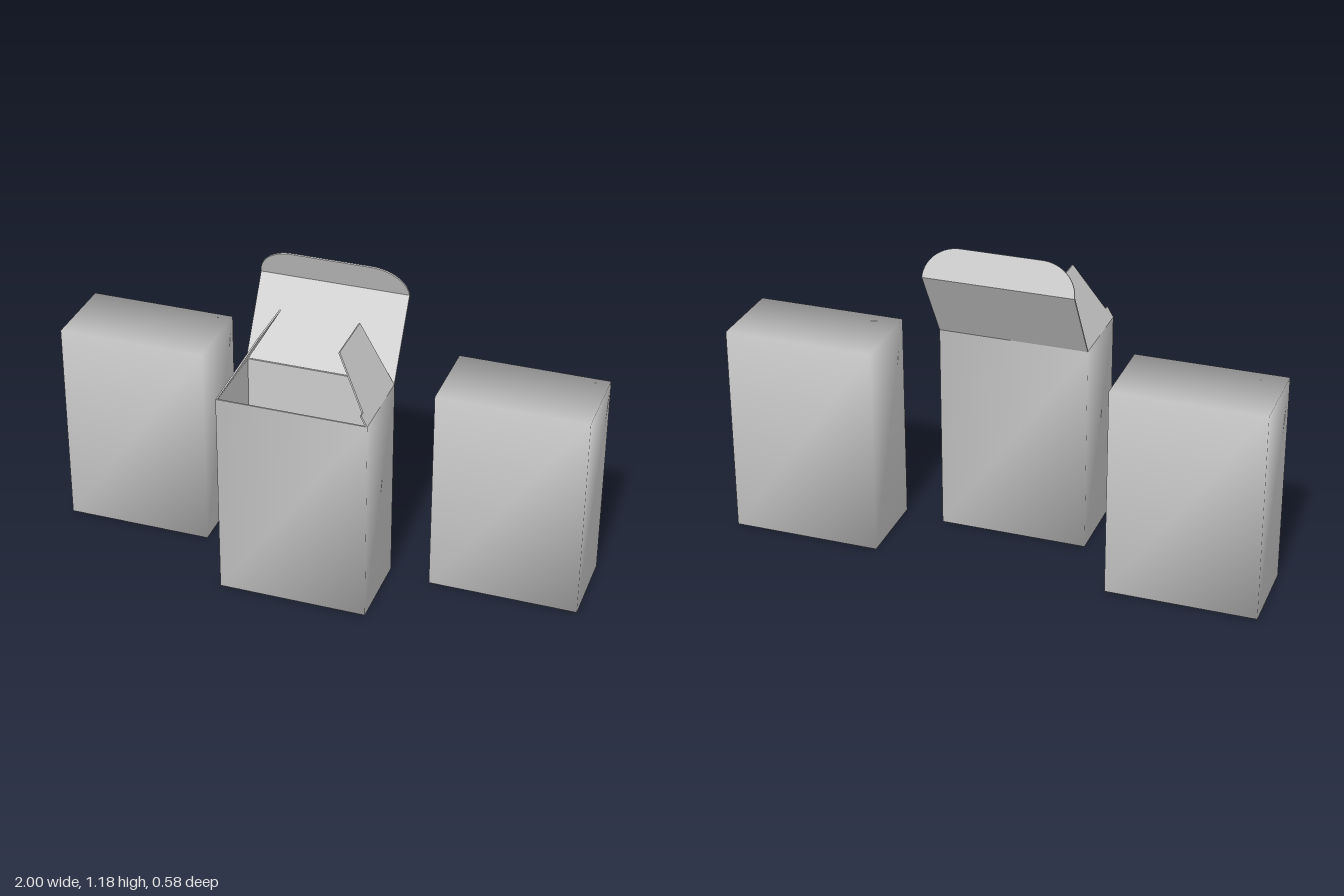
import * as THREE from 'three';
import { mergeVertices } from 'three/addons/utils/BufferGeometryUtils.js';

const W = 0.56, H = 0.8, D = 0.31; // outer size of every carton
const T = 0.006;                   // card thickness

// Weld the corners so shading flows softly around the carton
function soften(geometry) {
  geometry.deleteAttribute('normal');
  geometry.deleteAttribute('uv');
  const welded = mergeVertices(geometry);
  welded.clearGroups();
  welded.computeVertexNormals();
  return welded;
}

// Box standing on y = base, without its top face
function openBox(w, h, d, base) {
  const g = new THREE.BoxGeometry(w, h, d).translate(0, base + h / 2, 0);
  const index = Array.from(g.index.array);
  index.splice(12, 6);
  g.setIndex(index);
  g.clearGroups();
  return g;
}

function rectangle(w, d, Type) {
  const s = new Type();
  s.moveTo(-w / 2, -d / 2);
  s.lineTo(w / 2, -d / 2);
  s.lineTo(w / 2, d / 2);
  s.lineTo(-w / 2, d / 2);
  s.closePath();
  return s;
}

// Card panel: a flat shape extruded and laid along two directions from an origin
function panel(shape, xDir, yDir, origin, offset = 0) {
  const g = new THREE.ExtrudeGeometry(shape, { depth: T, bevelEnabled: false, curveSegments: 10 });
  g.translate(0, 0, offset);
  const y = yDir.clone().normalize();
  const m = new THREE.Matrix4().makeBasis(xDir, y, new THREE.Vector3().crossVectors(xDir, y));
  return g.applyMatrix4(m.setPosition(origin));
}

export function createModel() {
  const model = new THREE.Group();
  model.name = 'cartons';
  const card = new THREE.MeshStandardMaterial({ color: 0xcccccc });
  card.name = 'grey card';

  const add = (parent, name, geometry) => {
    const mesh = new THREE.Mesh(geometry, card);
    mesh.name = name;
    parent.add(mesh);
    return mesh;
  };

  // Closed cartons on both sides
  for (const s of [-1, 1]) {
    const box = add(model, s > 0 ? 'closedCartonLeft' : 'closedCartonRight',
      soften(new THREE.BoxGeometry(W, H, D)));
    box.position.set(s * 0.72, H / 2, -0.135);
  }

  // Open carton: outer walls, inner walls and the rim between them
  const open = new THREE.Group();
  open.name = 'openCarton';
  open.position.z = 0.135;
  model.add(open);
  add(open, 'outerWalls', soften(openBox(W, H, D, 0)));

  const inner = openBox(W - 2 * T, H - T, D - 2 * T, T);
  inner.index.array.reverse();
  const n = inner.attributes.normal;
  for (let i = 0; i < n.array.length; i++) n.array[i] *= -1;
  add(open, 'innerWalls', inner);

  const rim = rectangle(W, D, THREE.Shape);
  rim.holes.push(rectangle(W - 2 * T, D - 2 * T, THREE.Path));
  add(open, 'rim', new THREE.ShapeGeometry(rim).rotateX(-Math.PI / 2).translate(0, H, 0));

  // Side flaps leaning inwards, with a notched, slanted front edge
  const flap = new THREE.Shape([
    [-0.15, 0], [0.155, 0], [0.153, 0.046], [0.132, 0.046], [0.07, 0.26], [-0.15, 0.26],
  ].map(([x, y]) => new THREE.Vector2(x, y)));
  for (const s of [-1, 1]) {
    add(open, s > 0 ? 'sideFlapLeft' : 'sideFlapRight', panel(flap,
      new THREE.Vector3(0, 0, 1), new THREE.Vector3(-s * 0.13, 0.225, 0),
      new THREE.Vector3(s * W / 2, H, 0), s > 0 ? 0 : -T));
  }

  // Raised lid hinged on the back wall
  const right = new THREE.Vector3(1, 0, 0);
  const lidDir = new THREE.Vector3(0, 0.275, -0.163);
  const hinge = new THREE.Vector3(0, H, -D / 2);
  const len = lidDir.length();
  const lid = rectangle(W, len, THREE.Shape);
  add(open, 'lid', panel(lid, right, lidDir,
    hinge.clone().addScaledVector(lidDir, 0.5)));

  // Tuck flap bent forwards, with rounded corners
  const tuckDir = new THREE.Vector3(0, 0.11, 0.04);
  const h = tuckDir.length(), a = W / 2, r = 0.13;
  const tuck = new THREE.Shape();
  tuck.moveTo(-a, 0);
  tuck.lineTo(a, 0);
  tuck.absellipse(a - r, 0, r, h, 0, Math.PI / 2, false);
  tuck.lineTo(-a + r, h);
  tuck.absellipse(-a + r, 0, r, h, Math.PI / 2, Math.PI, false);
  add(open, 'tuckFlap', panel(tuck, right, tuckDir, hinge.clone().add(lidDir)));

  return model;
}
